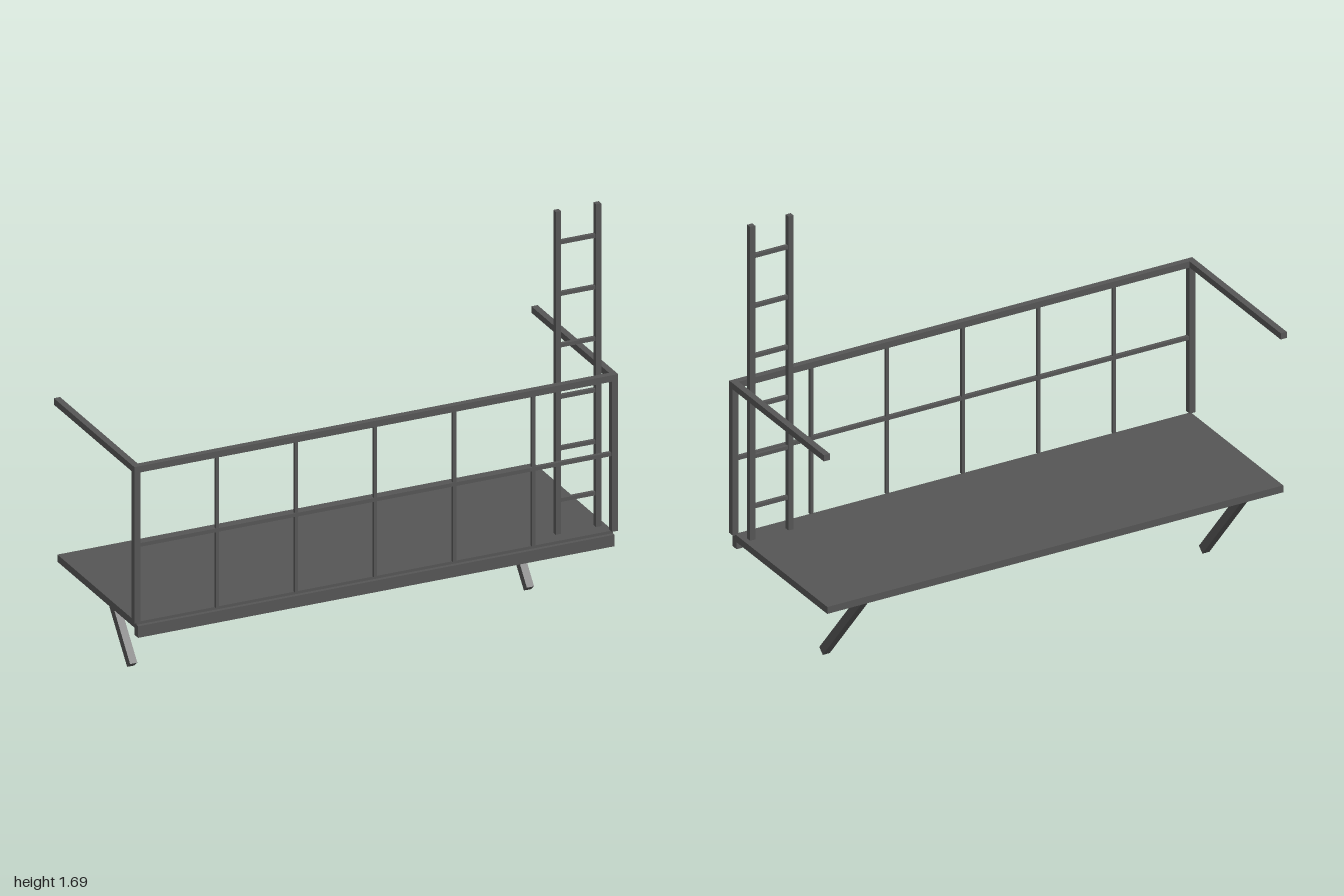
import * as THREE from 'three';

export function createModel() {
  const model = new THREE.Group();
  model.name = 'balcony';
  const steel = new THREE.MeshStandardMaterial({ color: 0x555555 });
  steel.name = 'dark grey steel';

  // Box given by its minimum and maximum along each axis
  function bar(name, [x0, x1], [y0, y1], [z0, z1]) {
    const mesh = new THREE.Mesh(new THREE.BoxGeometry(x1 - x0, y1 - y0, z1 - z0), steel);
    mesh.name = name;
    mesh.position.set((x0 + x1) / 2, (y0 + y1) / 2, (z0 + z1) / 2);
    model.add(mesh);
    return mesh;
  }
  const around = (c, w) => [c - w / 2, c + w / 2];

  // Platform and its front edge beam
  bar('floor', [-0.985, 0.985], [0.342, 0.371], [-0.352, 0.336]);
  bar('frontBeam', [-0.985, 0.985], [0.313, 0.36], [0.322, 0.352]);

  // Front railing
  const railZ = 0.338;
  bar('topRail', [-1, 1], [0.987, 1.013], around(railZ, 0.026));
  bar('middleRail', [-0.975, 0.975], around(0.688, 0.015), around(railZ, 0.015));
  for (let i = -2; i <= 2; i++) {
    bar('baluster', around(i * 0.327, 0.013), [0.371, 0.99], around(railZ, 0.013));
  }

  // Corner posts, side rails and slanted braces, mirrored
  const braceTop = new THREE.Vector3(0, 0.348, -0.33);
  const braceFoot = new THREE.Vector3(0, 0.0115, -0.0475);
  for (const side of [-1, 1]) {
    bar('cornerPost', around(side * 0.987, 0.026), [0.373, 0.99], around(railZ, 0.026));
    bar('sideRail', around(side * 0.987, 0.026), [0.987, 1.013], [-0.352, 0.33]);

    const dir = braceFoot.clone().sub(braceTop);
    const brace = new THREE.Mesh(new THREE.BoxGeometry(0.03, 0.034, dir.length()), steel);
    brace.name = 'brace';
    brace.position.copy(braceTop).add(braceFoot).multiplyScalar(0.5);
    brace.position.x = side * 0.82;
    brace.rotation.x = Math.atan2(-dir.y, dir.z);
    model.add(brace);
  }

  // Ladder rising from the floor at the left front corner
  const ladderZ = 0.27;
  for (const x of [0.786, 0.952]) {
    bar('ladderRail', around(x, 0.022), [0.371, 1.69], around(ladderZ, 0.022));
  }
  for (let i = 0; i < 6; i++) {
    bar('ladderRung', [0.79, 0.948], around(0.507 + i * 0.2105, 0.015), around(ladderZ, 0.015));
  }

  return model;
}
